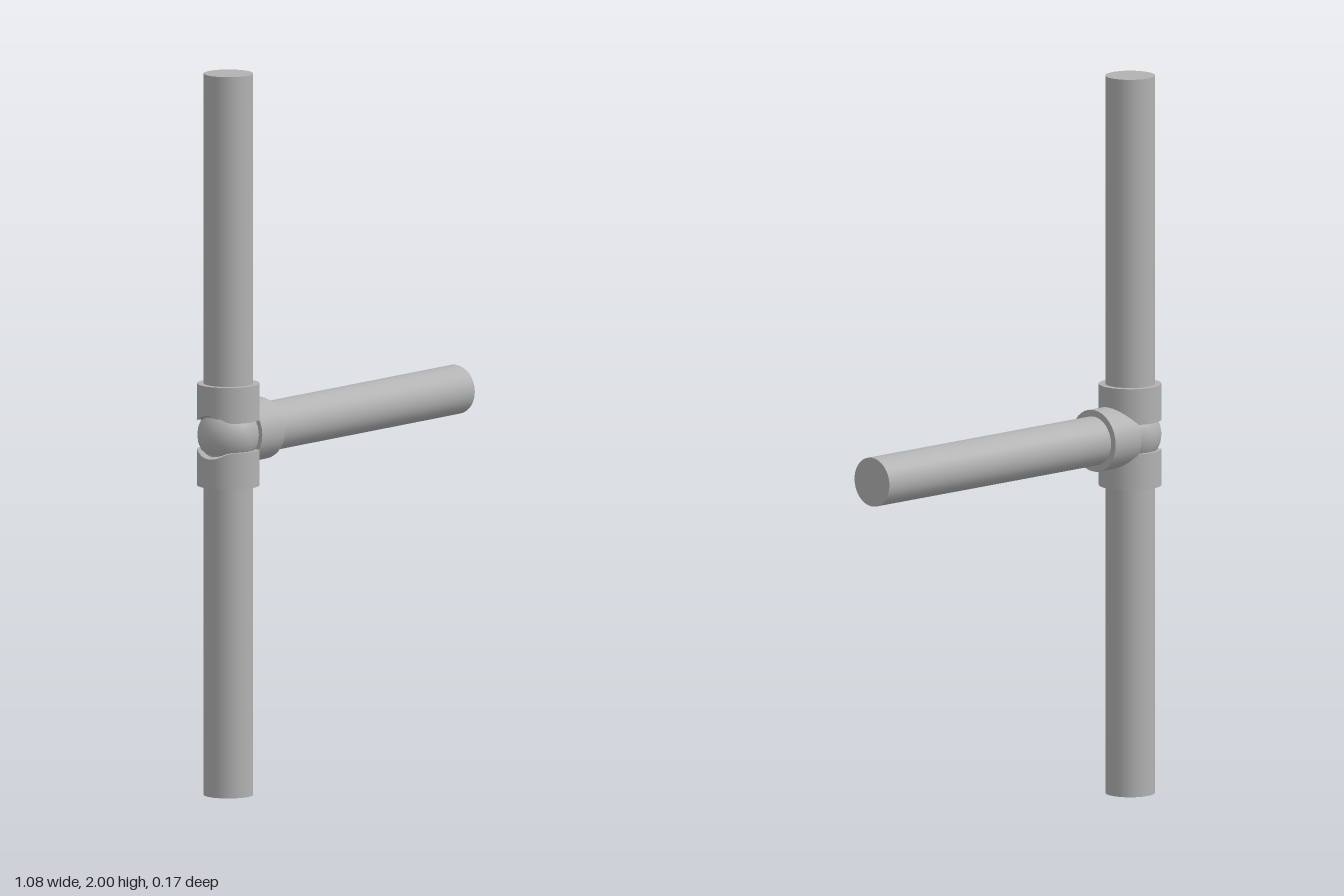
import * as THREE from 'three';

const AXIS_X = -0.456;   // centre line of the upright pipe
const PIPE_R = 0.068;
const SOCKET_R = 0.086;
const SOCKET_IN = 0.041; // socket ends, measured from the joint centre
const SOCKET_OUT = 0.141;

export function createModel() {
  const grey = new THREE.MeshStandardMaterial({ color: 0xb2b2b2 });
  grey.name = 'pipe grey';

  const model = new THREE.Group();
  model.name = 'pipeTee';

  const add = (name, geometry, parent) => {
    const mesh = new THREE.Mesh(geometry, grey);
    mesh.name = name;
    parent.add(mesh);
    return mesh;
  };

  // Everything is laid out around the centre of the joint
  const joint = new THREE.Group();
  joint.name = 'joint';
  joint.position.set(AXIS_X, 1, 0);
  model.add(joint);

  // Cylinder along +y between two distances from the joint
  const tube = (radius, from, to) =>
    new THREE.CylinderGeometry(radius, radius, to - from, 32).translate(0, (from + to) / 2, 0);

  // Socket whose inner rim rises towards its left and right sides
  const scoopedSocket = () => {
    const geometry = tube(SOCKET_R, SOCKET_IN, SOCKET_OUT);
    const p = geometry.attributes.position;
    for (let i = 0; i < p.count; i++) {
      if (p.getY(i) < 0.09) p.setY(i, Math.max(SOCKET_IN, Math.abs(p.getX(i)) - 0.026));
    }
    return geometry;
  };

  // Upper and lower arms
  for (const [label, turn] of [['upper', 0], ['lower', Math.PI]]) {
    const arm = new THREE.Group();
    arm.name = label + 'Arm';
    arm.rotation.z = turn;
    add(label + 'Pipe', tube(PIPE_R, 0.02, 1), arm);
    add(label + 'Socket', scoopedSocket(), arm);
    joint.add(arm);
  }

  // Side arm pointing to +x
  const sideArm = new THREE.Group();
  sideArm.name = 'sideArm';
  sideArm.rotation.z = -Math.PI / 2;
  add('sidePipe', tube(PIPE_R, 0.02, 0.54 - AXIS_X), sideArm);
  add('sideSocket', tube(SOCKET_R, SOCKET_IN, SOCKET_OUT), sideArm);
  joint.add(sideArm);

  // Ball showing between the sockets
  add('jointBall', new THREE.SphereGeometry(SOCKET_R, 16, 12), joint);

  return model;
}
